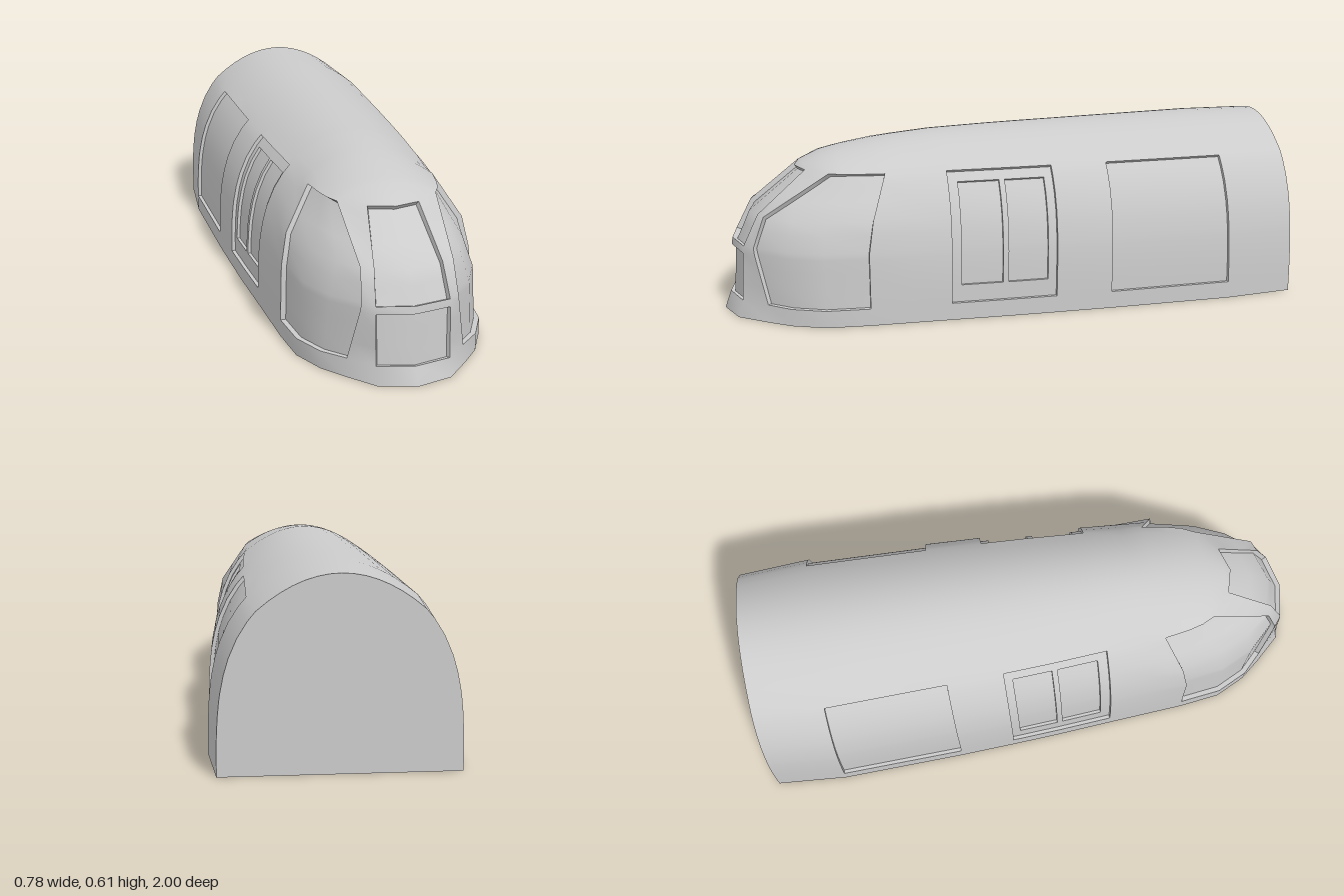
import * as THREE from 'three';
import { toCreasedNormals } from 'three/addons/utils/BufferGeometryUtils.js';

// piecewise linear lookup in [[key, value], ...]
function lerpTable(table, k) {
  for (let i = 1; i < table.length; i++) {
    const [a, va] = table[i - 1], [b, vb] = table[i];
    if (k <= b) return va + (vb - va) * Math.max(0, (k - a) / (b - a));
  }
  return table[table.length - 1][1];
}

const HALF_WIDTH = [[-1, 0.373], [-0.75, 0.392], [-0.31, 0.38], [0, 0.366], [0.26, 0.348], [0.54, 0.33]];
const ROOF_HEIGHT = [[-1, 0.61], [-0.75, 0.614], [0, 0.605], [0.3, 0.597], [0.5, 0.575], [0.68, 0.538], [0.74, 0.5]];
const EAVES = 0.5;

// heights of the wall rows
const ROWS = [0, 0.06, 0.12, 0.18, 0.23, 0.255, 0.31, 0.36, 0.42, 0.47, EAVES];
// straight wall columns, rear to front
const STATIONS = [-1, -0.75, -0.53, -0.31, -0.11, -0.08, 0.06, 0.08, 0.225, 0.26, 0.4];
// nose columns as [x, z] at five heights
const LEVELS = [0, 0.06, 0.25, 0.36, EAVES];
const NOSE = [
  [[0.33, 0.54], [0.33, 0.54], [0.325, 0.54], [0.303, 0.52], [0.215, 0.46]],
  [[0.312, 0.69], [0.312, 0.69], [0.303, 0.69], [0.265, 0.68], [0.2, 0.55]],
  [[0.26, 0.8], [0.26, 0.8], [0.245, 0.815], [0.215, 0.79], [0.187, 0.6]],
  [[0.2, 0.875], [0.192, 0.87], [0.157, 0.91], [0.15, 0.87], [0.165, 0.645]],
  [[0.12, 0.965], [0.12, 0.948], [0.12, 0.94], [0.11, 0.885], [0.085, 0.715]],
  [[0, 1], [0, 0.978], [0, 0.966], [0, 0.915], [0, 0.74]],
];
const MID = STATIONS.length + NOSE.length - 1;

// recessed parts: column range, height range, depth
const PANELS = [
  { name: 'doorWindow', cols: [5, 6], y: [0.12, 0.47], depth: 0.024 },
  { name: 'doorWindow', cols: [7, 8], y: [0.12, 0.47], depth: 0.024 },
  { name: 'sideDoor', cols: [4, 9], y: [0.06, 0.5], depth: 0.013 },
  { name: 'rearSidePanel', cols: [1, 3], y: [0.06, 0.5], depth: 0.013 },
  { name: 'cabSideWindow', cols: [11, 14], y: [0.06, 0.5], depth: 0.018 },
  { name: 'windscreen', cols: [15, 16], y: [0.255, 0.5], depth: 0.018 },
  { name: 'noseHatch', cols: [15, 16], y: [0.06, 0.23], depth: 0.015 },
];

// point on the left half of the outer wall
function wallPoint(col, y) {
  if (col >= STATIONS.length) {
    const c = NOSE[col - STATIONS.length];
    const at = (n) => lerpTable(LEVELS.map((l, i) => [l, c[i][n]]), y);
    return new THREE.Vector3(at(0), y, at(1));
  }
  const z = STATIONS[col] - (col > 1 ? 0.03 * Math.max(0, y - 0.1) : 0);
  const q = y / lerpTable(ROOF_HEIGHT, z);
  return new THREE.Vector3(lerpTable(HALF_WIDTH, z) * Math.sqrt(1 - q ** 3.1), y, z);
}

export function createModel() {
  const group = new THREE.Group();
  const material = new THREE.MeshStandardMaterial({ color: 0xcccccc });
  const parts = {};

  function tri(part, a, b, c) {
    const area = b.clone().sub(a).cross(c.clone().sub(a)).length();
    if (area < 1e-8) return;
    (parts[part] ??= []).push(...a.toArray(), ...b.toArray(), ...c.toArray());
  }
  function quad(part, a, b, c, d) {
    tri(part, a, b, c);
    tri(part, a, c, d);
  }

  // wall grid running round the nose from left rear to right rear
  const last = 2 * MID, top = ROWS.length - 1;
  const grid = [];
  for (let i = 0; i <= last; i++) {
    grid.push(ROWS.map((y) => {
      const p = wallPoint(Math.min(i, last - i), y);
      if (i > MID) p.x *= -1;
      return p;
    }));
  }
  const inset = (i, j, depth) => {
    const along = grid[Math.min(i + 1, last)][j].clone().sub(grid[Math.max(i - 1, 0)][j]);
    const up = grid[i][Math.min(j + 1, top)].clone().sub(grid[i][Math.max(j - 1, 0)]);
    return grid[i][j].clone().addScaledVector(up.cross(along).normalize(), -depth);
  };
  const plain = { name: 'hull', depth: 0 };
  const cell = (i, j) => {
    if (i < 0 || i >= last || j < 0 || j >= top) return plain;
    const k = i < MID ? i : last - 1 - i;
    const y = (ROWS[j] + ROWS[j + 1]) / 2;
    return PANELS.find((p) => k >= p.cols[0] && k < p.cols[1] && y > p.y[0] && y < p.y[1]) ?? plain;
  };
  for (let i = 0; i < last; i++) {
    for (let j = 0; j <= top; j++) {
      const { name, depth: d } = cell(i, j);
      if (j < top) {
        quad(name, inset(i, j, d), inset(i, j + 1, d), inset(i + 1, j + 1, d), inset(i + 1, j, d));
        // recess edge towards the previous column
        const e = cell(i - 1, j).depth;
        if (e !== d) quad('recessEdges', inset(i, j, e), inset(i, j + 1, e), inset(i, j + 1, d), inset(i, j, d));
      }
      // recess edge towards the row below
      const f = cell(i, j - 1).depth;
      if (f !== d) quad('recessEdges', inset(i, j, f), inset(i, j, d), inset(i + 1, j, d), inset(i + 1, j, f));
    }
  }

  // arched roof from eave to eave
  const ARCH = 14;
  const roof = (i, k) => {
    const base = grid[i][top], s = 1 - (2 * k) / ARCH;
    const rise = lerpTable(ROOF_HEIGHT, base.z) - EAVES;
    return new THREE.Vector3(base.x * s, EAVES + rise * (1 - s * s), base.z);
  };
  for (let i = 0; i < MID; i++) {
    for (let k = 0; k < ARCH; k++) quad('hull', roof(i, k), roof(i, k + 1), roof(i + 1, k + 1), roof(i + 1, k));
    // flat floor
    quad('floor', grid[i][0], grid[i + 1][0], grid[last - i - 1][0], grid[last - i][0]);
  }

  // flat rear end
  const rim = [...grid[0]];
  for (let k = 1; k < ARCH; k++) rim.push(roof(0, k));
  rim.push(...[...grid[last]].reverse());
  const hub = new THREE.Vector3(0, 0, grid[0][0].z);
  for (let k = 1; k < rim.length; k++) tri('rearEnd', hub, rim[k], rim[k - 1]);

  for (const [name, positions] of Object.entries(parts)) {
    const geometry = new THREE.BufferGeometry();
    geometry.setAttribute('position', new THREE.Float32BufferAttribute(positions, 3));
    const mesh = new THREE.Mesh(toCreasedNormals(geometry, 0.75), material);
    mesh.name = name;
    group.add(mesh);
  }
  return group;
}
